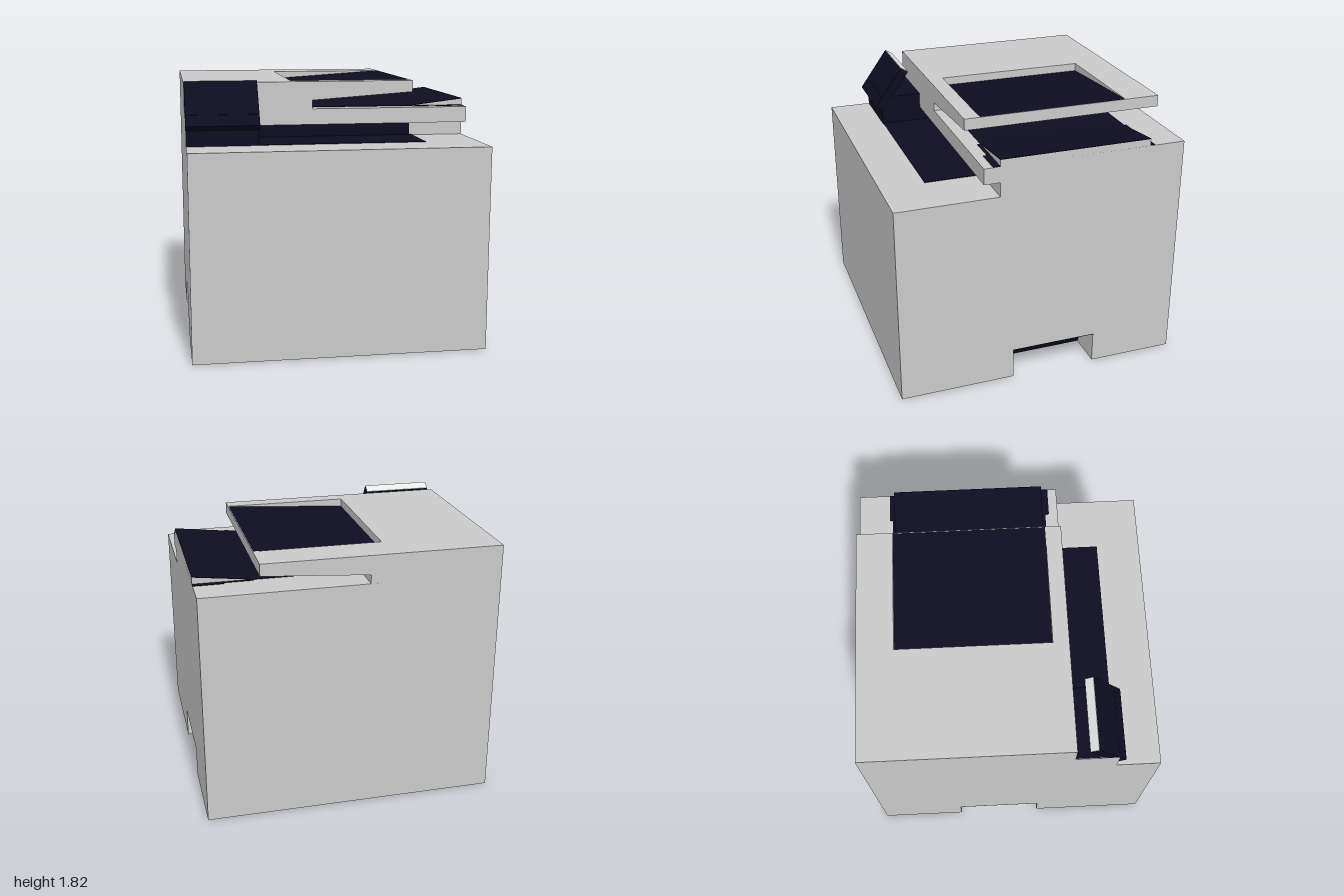
import * as THREE from 'three';

export function createModel() {
  const root = new THREE.Group();
  const grey = new THREE.MeshStandardMaterial({ name: 'casing grey', color: 0xc9c9c9 });
  const dark = new THREE.MeshStandardMaterial({ name: 'dark navy', color: 0x0d0d20 });
  const light = new THREE.MeshStandardMaterial({ name: 'pale edge', color: 0xeaedea });

  const extrude = (points, depth) => new THREE.ExtrudeGeometry(
    new THREE.Shape(points.map(([a, b]) => new THREE.Vector2(a, b))),
    { depth, bevelEnabled: false });
  const add = (name, geometry, material, parent = root) => {
    const mesh = new THREE.Mesh(geometry, material);
    mesh.name = name;
    parent.add(mesh);
    return mesh;
  };
  // Profile in x,y drawn out from z0 to z1
  const alongZ = (name, points, z0, z1, material) =>
    add(name, extrude(points, z1 - z0).translate(0, 0, z0), material);
  // Profile in z,y drawn out from x0 to x1
  const alongX = (name, points, x0, x1, material) =>
    add(name, extrude(points, x1 - x0).rotateY(-Math.PI / 2).translate(x1, 0, 0), material);
  const block = (name, x0, x1, y0, y1, z0, z1, material) =>
    add(name, new THREE.BoxGeometry(x1 - x0, y1 - y0, z1 - z0)
      .translate((x0 + x1) / 2, (y0 + y1) / 2, (z0 + z1) / 2), material);

  // Lower casing with a carrying grip cut into each side
  block('casingFront', -1, 1, 0, 1.4, 0.2, 1, grey);
  block('casingBack', -1, 1, 0, 1.4, -1, -0.4, grey);
  alongZ('casingMiddle', [[-0.74, 0], [0.74, 0], [0.85, 0.22], [1, 0.22], [1, 1.4],
    [-1, 1.4], [-1, 0.22], [-0.85, 0.22]], -0.4, 0.2, grey);
  for (const s of [-1, 1]) {
    alongZ('gripLining', [[s * 0.74, 0], [s * 0.85, 0.22], [s, 0.22], [s, 0.216],
      [s * 0.853, 0.216], [s * 0.745, 0]], -0.4, 0.2, dark);
  }

  // Upper casing and the lip that overhangs the output slot
  block('upperCasing', -1, 1, 1.4, 1.61, -1, 0.3, grey);
  block('frontLip', -1, 1, 1.5, 1.61, 0.3, 0.41, grey);
  block('outputSlot', -0.51, 0.61, 1.4, 1.5, 0.3, 0.304, dark);
  block('outputDeck', -0.51, 0.63, 1.4, 1.404, 0.3, 0.695, dark);

  // Lid with a tapered underside and a sloping tray sunk into its top
  const lid = [[-1, 1.61], [-0.11, 1.61], [-0.11, 1.67], [0.605, 1.72], [0.605, 1.8]];
  alongZ('lidFront', [...lid, [-1, 1.8]], 0.3, 0.41, grey);
  alongZ('lidBack', [...lid, [-1, 1.8]], -1, -0.75, grey);
  alongZ('lidMiddle', [...lid, [-0.25, 1.74], [-0.25, 1.8], [-1, 1.8]], -0.75, 0.3, grey);
  alongZ('topTray', [[-0.25, 1.738], [0.6, 1.796], [0.6, 1.8], [-0.25, 1.744]], -0.75, 0.3, dark);

  // Lower tray: flat under the lid, then rising to the open side
  alongZ('trayWedge', [[0.605, 1.61], [1, 1.61], [1, 1.657]], -0.75, 0.3, grey);
  alongZ('traySurface', [[-0.1, 1.61], [0.605, 1.61], [1, 1.657], [1, 1.661],
    [0.605, 1.614], [-0.1, 1.614]], -0.75, 0.3, dark);
  block('trayEdgeInner', 0.605, 0.8, 1.61, 1.613, -0.767, 0.322, dark);
  block('trayEdgeOuter', 0.8, 1, 1.61, 1.613, -0.785, 0.348, dark);

  // Control panel: stepped base and a tilted plate with a pale top edge
  const base = [[0.3, 1.4], [0.7, 1.4], [0.7, 1.61], [0.41, 1.61], [0.41, 1.5], [0.3, 1.5]];
  alongX('panelBase', base, -0.996, -0.51, dark);
  alongX('panelBaseEnd', base, -1, -0.996, grey);
  alongX('panelPlate', [[0.75, 1.54], [0.547, 1.82], [0.493, 1.787], [0.698, 1.505]], -1, -0.51, dark);
  alongX('panelTopEdge', [[0.547, 1.82], [0.493, 1.787], [0.491, 1.79], [0.545, 1.823]], -1, -0.51, light);

  return root;
}
